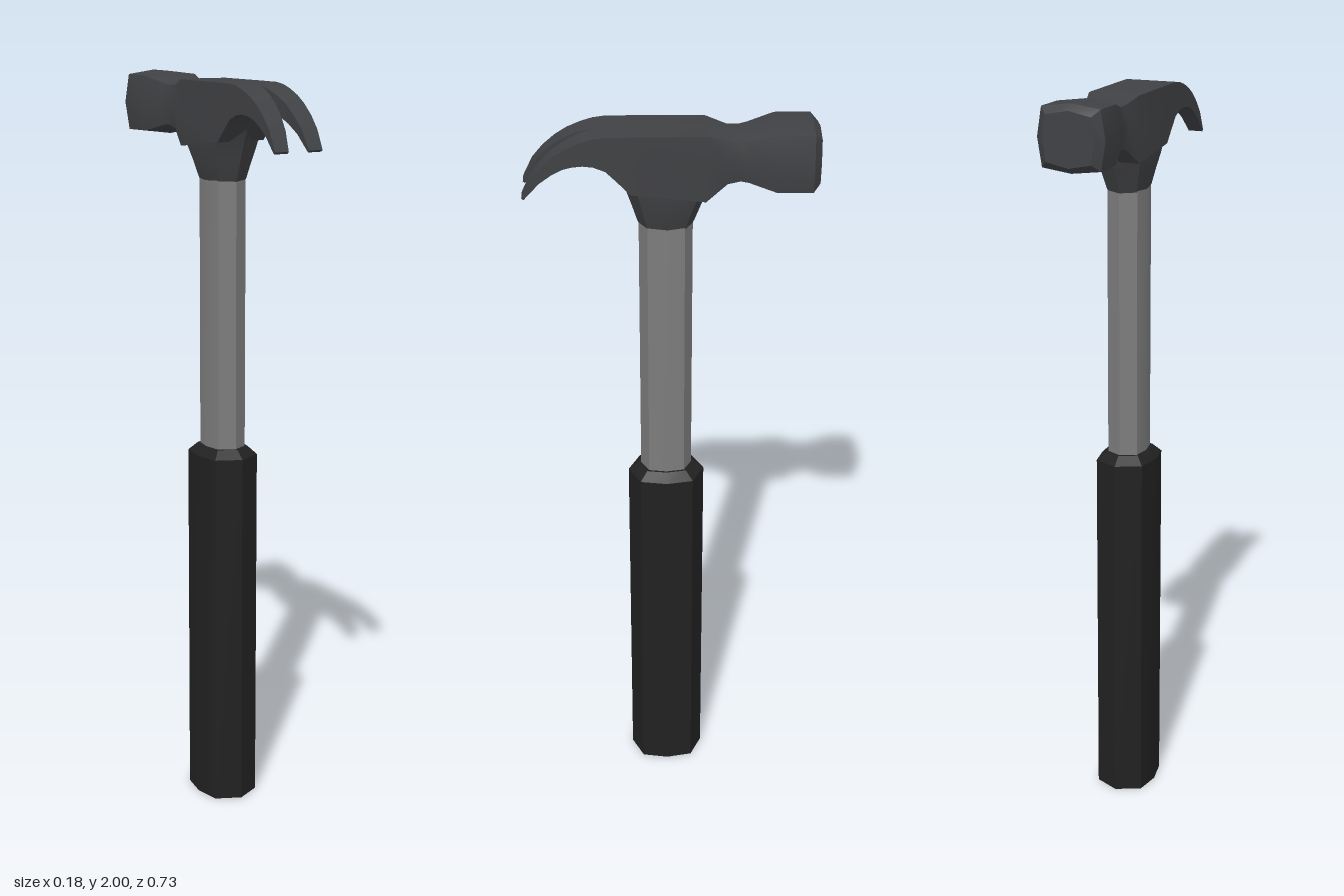
import * as THREE from 'three';
import { toCreasedNormals } from 'three/addons/utils/BufferGeometryUtils.js';

const V = (x, y, z) => new THREE.Vector3(x, y, z);
const CZ = 0.012; // z of the handle axis

// Skin a row of rings (each counter-clockwise about the direction of travel) and cap both ends
function loft(rings) {
  const pos = [];
  const tri = (a, b, c) => { for (const p of [a, b, c]) pos.push(p.x, p.y, p.z); };
  const n = rings[0].length;
  for (let i = 0; i < rings.length - 1; i++) {
    for (let j = 0; j < n; j++) {
      const k = (j + 1) % n;
      const a = rings[i][j], b = rings[i][k], c = rings[i + 1][k], d = rings[i + 1][j];
      tri(a, b, c);
      tri(a, c, d);
    }
  }
  const first = rings[0], last = rings[rings.length - 1];
  for (let j = 1; j < n - 1; j++) {
    tri(first[0], first[j + 1], first[j]);
    tri(last[0], last[j], last[j + 1]);
  }
  const g = new THREE.BufferGeometry();
  g.setAttribute('position', new THREE.Float32BufferAttribute(pos, 3));
  return toCreasedNormals(g, THREE.MathUtils.degToRad(32));
}

// Squarish octagon lying flat at height y; zF and zB are its front and back points
function flatRing(y, hx, zF, zB, corner = 0.82) {
  const c = (zF + zB) / 2, h = (zF - zB) / 2, x = hx * corner, z = h * 0.69;
  return [V(0, y, zF), V(x, y, c + z), V(hx, y, c), V(x, y, c - z),
    V(0, y, zB), V(-x, y, c - z), V(-hx, y, c), V(-x, y, c + z)];
}

// Upright section of the head at z: w = half width at mid height, cw = at the corners
function headRing([z, top, bot, w, cw, dy]) {
  const m = (top + bot) / 2;
  return [V(w, m, z), V(cw, top - dy, z), V(0, top, z), V(-cw, top - dy, z),
    V(-w, m, z), V(-cw, bot + dy, z), V(0, bot, z), V(cw, bot + dy, z)];
}

export function createModel() {
  const group = new THREE.Group();
  const mat = (color) => new THREE.MeshStandardMaterial({ color });
  const steel = mat(0x404144), metal = mat(0x7c7c7c), rubber = mat(0x212121);
  const add = (name, geometry, material, parent = group) => {
    const mesh = new THREE.Mesh(geometry, material);
    mesh.name = name;
    parent.add(mesh);
  };

  // Handle: rubber grip with a bevelled top, then the bare shaft
  const handleRing = (y, hx, hz) => flatRing(y, hx, CZ + hz, CZ - hz, 0.84);
  add('grip', loft([handleRing(0, 0.079, 0.102), handleRing(0.99, 0.079, 0.102),
    handleRing(1.012, 0.056, 0.076)]), rubber);
  add('shaft', loft([handleRing(0.98, 0.05, 0.068), handleRing(1.75, 0.05, 0.068)]), metal);

  const head = new THREE.Group();
  head.name = 'head';
  group.add(head);

  // Socket flaring from the shaft up into the head
  add('socket', loft([
    flatRing(1.722, 0.047, 0.076, -0.054),
    flatRing(1.735, 0.052, 0.083, -0.06),
    flatRing(1.775, 0.06, 0.096, -0.076, 0.86),
    flatRing(1.815, 0.067, 0.11, -0.095, 0.92),
    flatRing(1.868, 0.0695, 0.131, -0.118, 1),
    flatRing(1.9, 0.0695, 0.165, -0.13, 1),
    flatRing(1.915, 0.0695, 0.18, -0.13, 1),
  ]), steel, head);

  // Striking face, neck and core, from back to front
  add('poll', loft([
    [-0.365, 1.981, 1.843, 0.068, 0.06, 0.012],
    [-0.347, 1.996, 1.828, 0.09, 0.078, 0.01],
    [-0.257, 1.996, 1.83, 0.09, 0.078, 0.01],
    [-0.19, 1.979, 1.849, 0.069, 0.06, 0.01],
    [-0.17, 1.976, 1.851, 0.065, 0.055, 0.01],
    [-0.138, 1.975, 1.846, 0.065, 0.055, 0.008],
    [-0.085, 1.985, 1.812, 0.071, 0.069, 0.001],
    [0.1, 1.985, 1.835, 0.07, 0.07, 0],
    [0.131, 1.985, 1.868, 0.07, 0.07, 0],
    [0.16, 1.985, 1.897, 0.07, 0.07, 0],
    [0.19, 1.981, 1.909, 0.07, 0.07, 0],
  ].map(headRing)), steel, head);

  // Claw prongs: z, y of the upper edge, z, y of the lower edge, inner x
  const claw = [
    [0.19, 1.981, 0.19, 1.909, 0],
    [0.22, 1.972, 0.215, 1.912, 0.005],
    [0.255, 1.957, 0.24, 1.91, 0.01],
    [0.285, 1.938, 0.265, 1.904, 0.015],
    [0.315, 1.912, 0.29, 1.891, 0.019],
    [0.342, 1.88, 0.322, 1.868, 0.024],
    [0.366, 1.831, 0.361, 1.826, 0.03],
  ];
  for (const [name, s] of [['leftProng', 1], ['rightProng', -1]]) {
    const rings = claw.map(([zt, yt, zb, yb, x]) => {
      const r = [V(s * x, yb, zb), V(s * 0.07, yb, zb), V(s * 0.07, yt, zt), V(s * x, yt, zt)];
      return s > 0 ? r : r.reverse();
    });
    add(name, loft(rings), steel, head);
  }
  return group;
}
